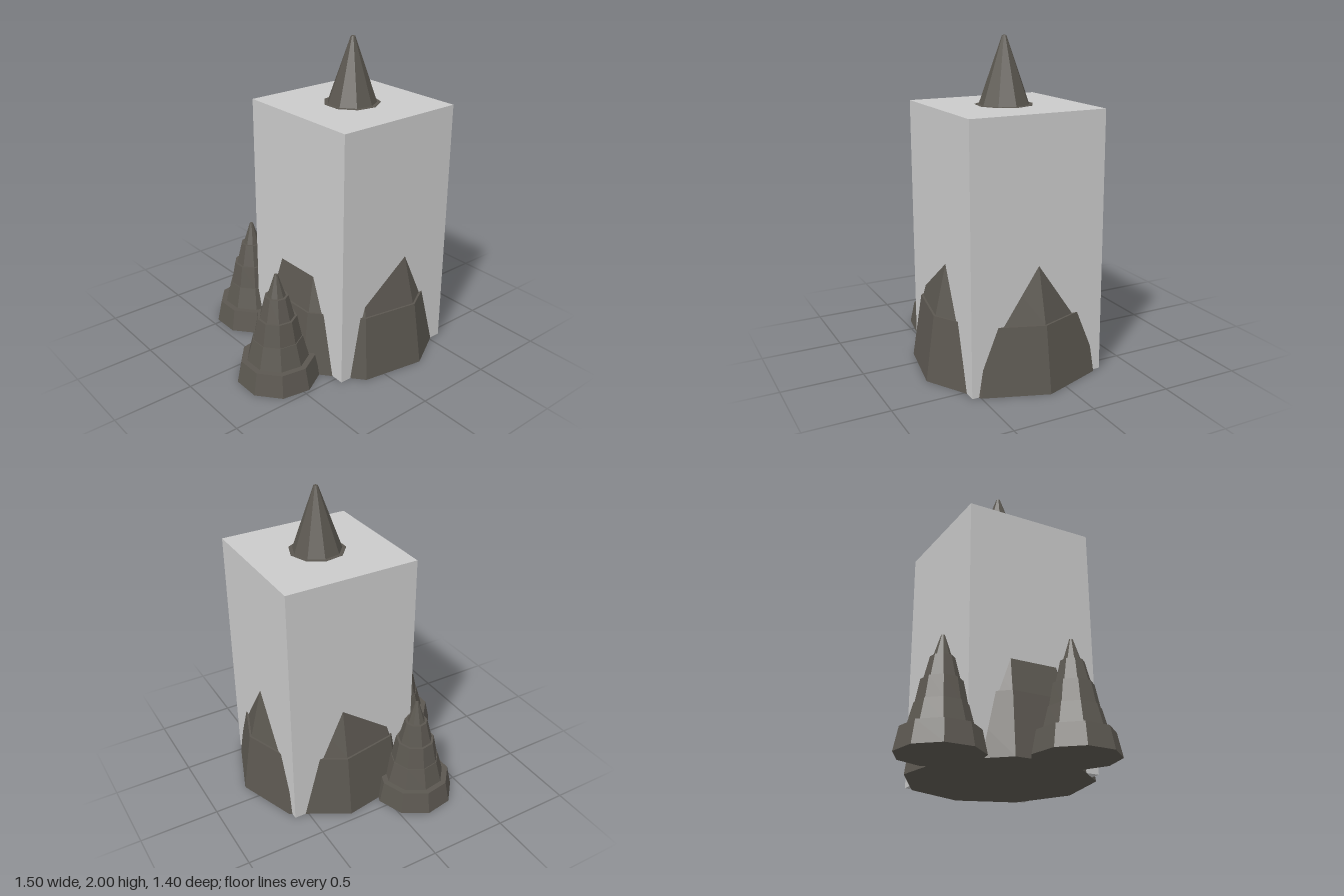
import * as THREE from 'three';

const stone = new THREE.MeshStandardMaterial({ color: 0x5b5750, flatShading: true });
stone.name = 'dark stone';
const plaster = new THREE.MeshStandardMaterial({ color: 0xcacaca });
plaster.name = 'pale grey';

// Nine-sided stepped spire: each tier is [bottom radius, top radius, top height]
function spire(name, x, z, tiers) {
  const points = [new THREE.Vector2(0, 0)];
  let y = 0;
  for (const [bottom, top, height] of tiers) {
    points.push(new THREE.Vector2(bottom, y), new THREE.Vector2(top, height));
    y = height;
  }
  points.push(new THREE.Vector2(0, y));
  const mesh = new THREE.Mesh(new THREE.LatheGeometry(points, 9, Math.PI / 2), stone);
  mesh.name = name;
  mesh.position.set(x, 0, z);
  return mesh;
}

export function createModel() {
  const group = new THREE.Group();
  group.name = 'blockOnSpires';

  // Tall square block
  const block = new THREE.Mesh(new THREE.BoxGeometry(0.856, 1.599, 0.856), plaster);
  block.name = 'block';
  block.position.set(0.163, 0.8005, 0.123);
  group.add(block);

  // Main spire running through the block and out of its top
  group.add(spire('mainSpire', 0.163, 0.123, [
    [0.583, 0.523, 0.4],
    [0.51, 0.41, 0.8],
    [0.39, 0.3, 1.2],
    [0.27, 0.175, 1.602],
    [0.152, 0.013, 2],
  ]));

  // Two small spires beside it
  const smallTiers = [
    [0.258, 0.229, 0.14],
    [0.192, 0.155, 0.28],
    [0.15, 0.122, 0.42],
    [0.107, 0.072, 0.56],
    [0.056, 0.011, 0.7],
  ];
  group.add(spire('rightSpire', -0.507, 0.23, smallTiers));
  group.add(spire('backSpire', -0.211, -0.445, smallTiers));

  return group;
}
